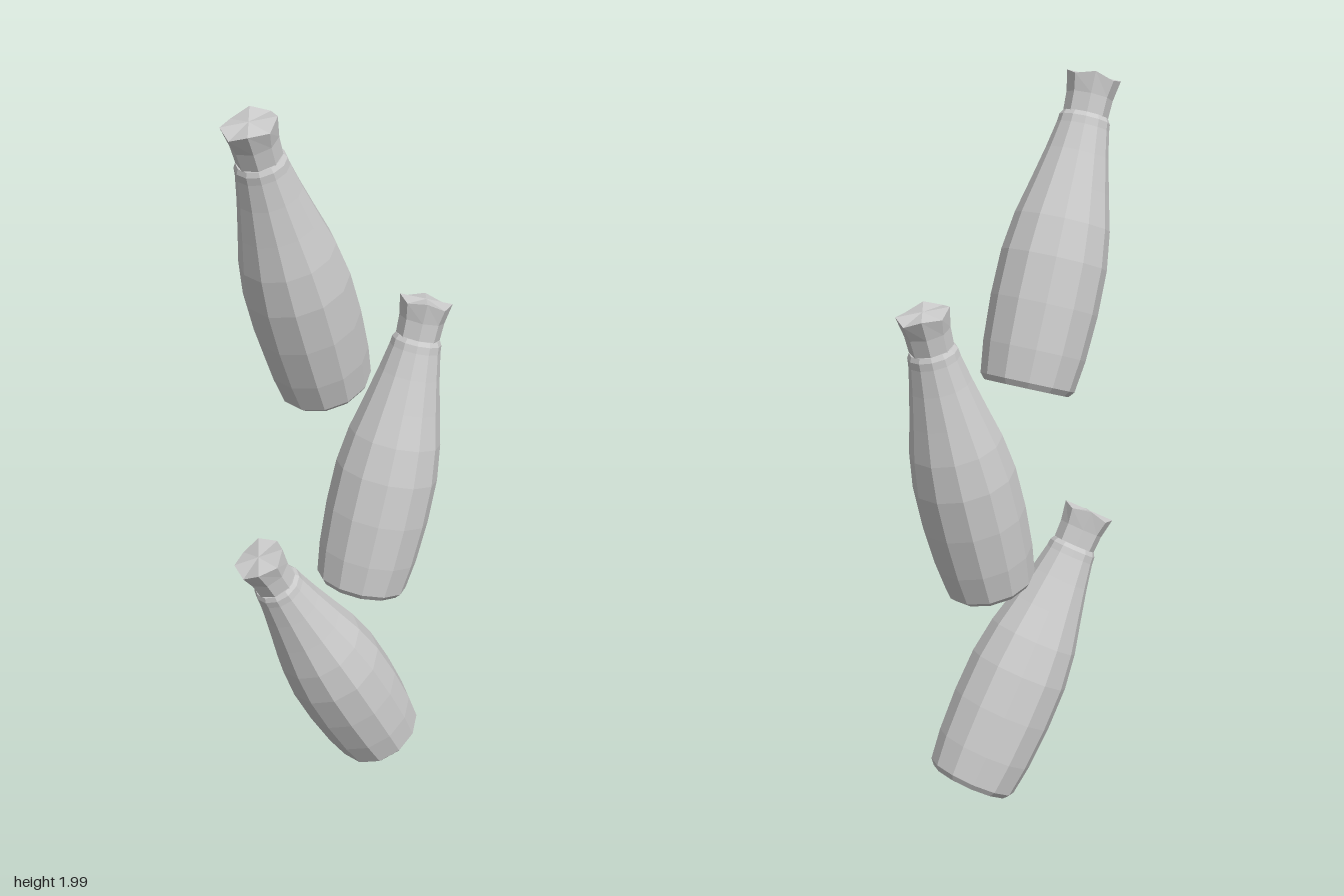
import * as THREE from 'three';

const LENGTH = 0.825;
const material = new THREE.MeshStandardMaterial({ color: 0xcccccc, flatShading: true });

const lathe = (points, sides) =>
  new THREE.LatheGeometry(points.map(([r, y]) => new THREE.Vector2(r, y)), sides);

// Glass body: chamfered base, full belly, tapering neck and small lip
const bodyGeometry = lathe([
  [0, 0], [0.112, 0], [0.125, 0.015], [0.136, 0.1], [0.142, 0.22], [0.14, 0.34],
  [0.126, 0.44], [0.104, 0.53], [0.083, 0.62], [0.069, 0.69], [0.067, 0.71],
  [0.06, 0.722], [0, 0.722],
], 12);

// Flared cap, its rim gently waved up and down
const capGeometry = lathe([
  [0, 0.715], [0.059, 0.715], [0.061, 0.77], [0.071, LENGTH - 0.006], [0, LENGTH],
], 8);
const pos = capGeometry.attributes.position;
for (let i = 0; i < pos.count; i++) {
  const x = pos.getX(i), z = pos.getZ(i), y = pos.getY(i);
  if (y > 0.8 && Math.hypot(x, z) > 0.05) {
    pos.setY(i, y + 0.006 * Math.cos(4 * Math.atan2(z, x)));
  }
}

// A bottle standing on the point base and leaning towards the point top
function bottle(name, base, top) {
  const group = new THREE.Group();
  group.name = name;
  const body = new THREE.Mesh(bodyGeometry, material);
  body.name = 'bottleBody';
  const cap = new THREE.Mesh(capGeometry, material);
  cap.name = 'bottleCap';
  group.add(body, cap);
  const start = new THREE.Vector3(...base);
  const axis = new THREE.Vector3(...top).sub(start).normalize();
  group.position.copy(start);
  group.quaternion.setFromUnitVectors(new THREE.Vector3(0, 1, 0), axis);
  return group;
}

export function createModel() {
  const model = new THREE.Group();
  model.name = 'floatingBottles';
  model.add(
    bottle('upperBottle', [-0.045, 1.2, -0.075], [-0.218, 1.98, 0.137]),
    bottle('middleBottle', [0.05, 0.622, 0.0], [0.218, 1.415, -0.14]),
    bottle('lowerBottle', [0.108, 0.063, -0.08], [-0.218, 0.78, 0.137]),
  );
  return model;
}
